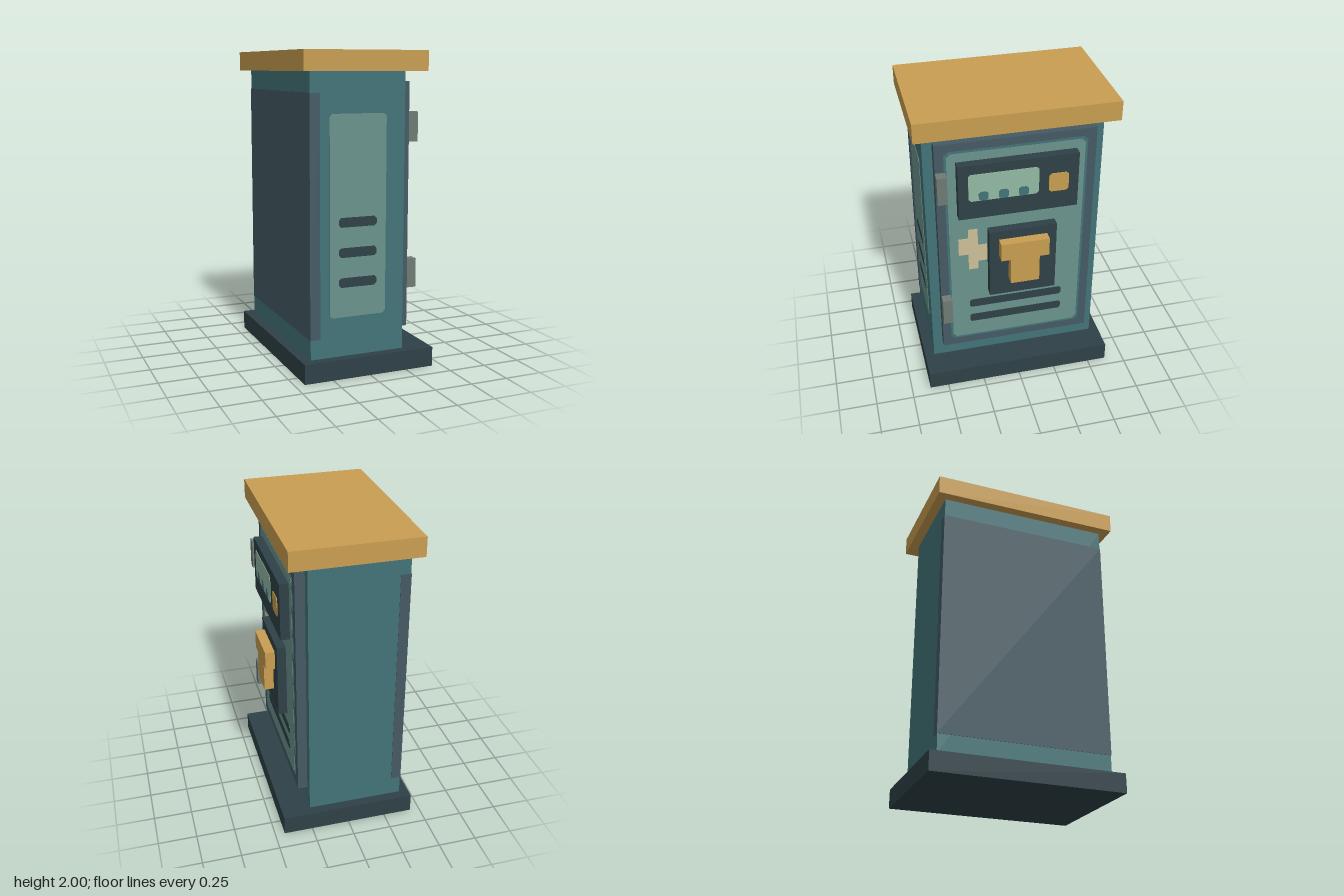
import * as THREE from 'three';

const mat = (name, color) => {
  const m = new THREE.MeshStandardMaterial({ color });
  m.name = name;
  return m;
};

export function createModel() {
  const root = new THREE.Group();
  root.name = 'cabinet';

  const teal = mat('teal', 0x437478);
  const dark = mat('darkSlate', 0x2e4147);
  const slate = mat('slate', 0x455a64);
  const sage = mat('sage', 0x6a938c);
  const mint = mat('mint', 0x93b9a4);
  const gold = mat('gold', 0xc99e51);
  const cream = mat('cream', 0xcdbf97);
  const steel = mat('hingeGrey', 0x6f7b75);

  // Box given by its two opposite corners
  const box = (name, m, [x0, y0, z0], [x1, y1, z1], parent = root) => {
    const mesh = new THREE.Mesh(new THREE.BoxGeometry(x1 - x0, y1 - y0, z1 - z0), m);
    mesh.position.set((x0 + x1) / 2, (y0 + y1) / 2, (z0 + z1) / 2);
    mesh.name = name;
    parent.add(mesh);
  };

  // Rectangle with clipped corners, used for the painted details
  const panel = (u0, v0, u1, v1, c) => new THREE.Shape([
    [u0 + c, v0], [u1 - c, v0], [u1, v0 + c], [u1, v1 - c],
    [u1 - c, v1], [u0 + c, v1], [u0, v1 - c], [u0, v0 + c],
  ].map(([u, v]) => new THREE.Vector2(u, v)));

  const plate = (name, m, shape, thick) => {
    const mesh = new THREE.Mesh(
      new THREE.ExtrudeGeometry(shape, { depth: thick, bevelEnabled: false }), m);
    mesh.name = name;
    root.add(mesh);
    return mesh;
  };
  // Plate on a face looking towards +x (u runs towards -z)
  const doorPlate = (name, m, shape, x, thick) => {
    const p = plate(name, m, shape, thick);
    p.rotation.y = Math.PI / 2;
    p.position.x = x;
  };
  // Plate on the body side looking towards +z
  const sidePlate = (name, m, shape, thick) => {
    plate(name, m, shape, thick).position.z = 0.5625;
  };

  // Main blocks
  box('base', dark, [-0.4375, 0, -0.625], [0.4375, 0.125, 0.625]);
  box('body', teal, [-0.375, 0.125, -0.5625], [0.25, 1.875, 0.5625]);
  box('roof', gold, [-0.4375, 1.875, -0.625], [0.375, 2, 0.625]);
  box('backPanel', slate, [-0.378, 0.25, -0.5655], [-0.3125, 1.75, 0.5655]);

  // Door with its inset panel
  box('door', slate, [0.25, 0.25, -0.5], [0.3125, 1.8125, 0.5]);
  doorPlate('doorPanelBorder', teal, panel(-0.445, 0.305, 0.445, 1.76, 0.025), 0.3125, 0.002);
  doorPlate('doorPanel', sage, panel(-0.43, 0.32, 0.43, 1.745, 0.025), 0.3125, 0.004);
  for (const y of [0.5, 1.4375]) {
    box('hinge', steel, [0.3125, y, 0.4375], [0.375, y + 0.1875, 0.5]);
  }
  for (const y of [0.4375, 0.5625]) {
    doorPlate('doorSlot', dark, panel(-0.3125, y, 0.3125, y + 0.06, 0.012), 0.3125, 0.007);
  }

  // Cream patch beside the lock
  const patch = [
    [-0.375, 1], [-0.3125, 1], [-0.3125, 0.88], [-0.25, 0.88], [-0.25, 0.94],
    [-0.19, 0.94], [-0.19, 1.065], [-0.25, 1.065], [-0.25, 1.19],
    [-0.3125, 1.19], [-0.3125, 1.125], [-0.375, 1.125],
  ].map(([u, v]) => new THREE.Vector2(u, v));
  doorPlate('creamPatch', cream, new THREE.Shape(patch), 0.3125, 0.007);

  // Display box with window, three markers and a lamp
  box('displayBox', dark, [0.3125, 1.3125, -0.375], [0.375, 1.6875, 0.375]);
  doorPlate('displayWindow', mint, panel(-0.3125, 1.4375, 0.125, 1.625, 0.015), 0.375, 0.003);
  for (const u of [-0.22, -0.095, 0.03]) {
    doorPlate('displayMarker', teal, panel(u - 0.03, 1.4375, u + 0.03, 1.5, 0.012), 0.375, 0.005);
  }
  doorPlate('lamp', gold, panel(0.1875, 1.4375, 0.3125, 1.565, 0.015), 0.375, 0.004);

  // Lock plate and T-shaped handle
  box('lockPlate', dark, [0.3125, 0.6875, -0.25], [0.375, 1.1875, 0.1875]);
  box('handleBar', gold, [0.375, 1, -0.1875], [0.4375, 1.125, 0.125]);
  box('handleStem', gold, [0.375, 0.8125, -0.125], [0.4375, 1, 0.0625]);

  // Vented side panel
  sidePlate('sidePanel', sage, panel(-0.25, 0.375, 0.125, 1.625, 0.018), 0.003);
  for (const y of [0.5625, 0.75, 0.9375]) {
    sidePlate('sideVent', dark, panel(-0.19, y, 0.0625, y + 0.06, 0.015), 0.005);
  }

  return root;
}
